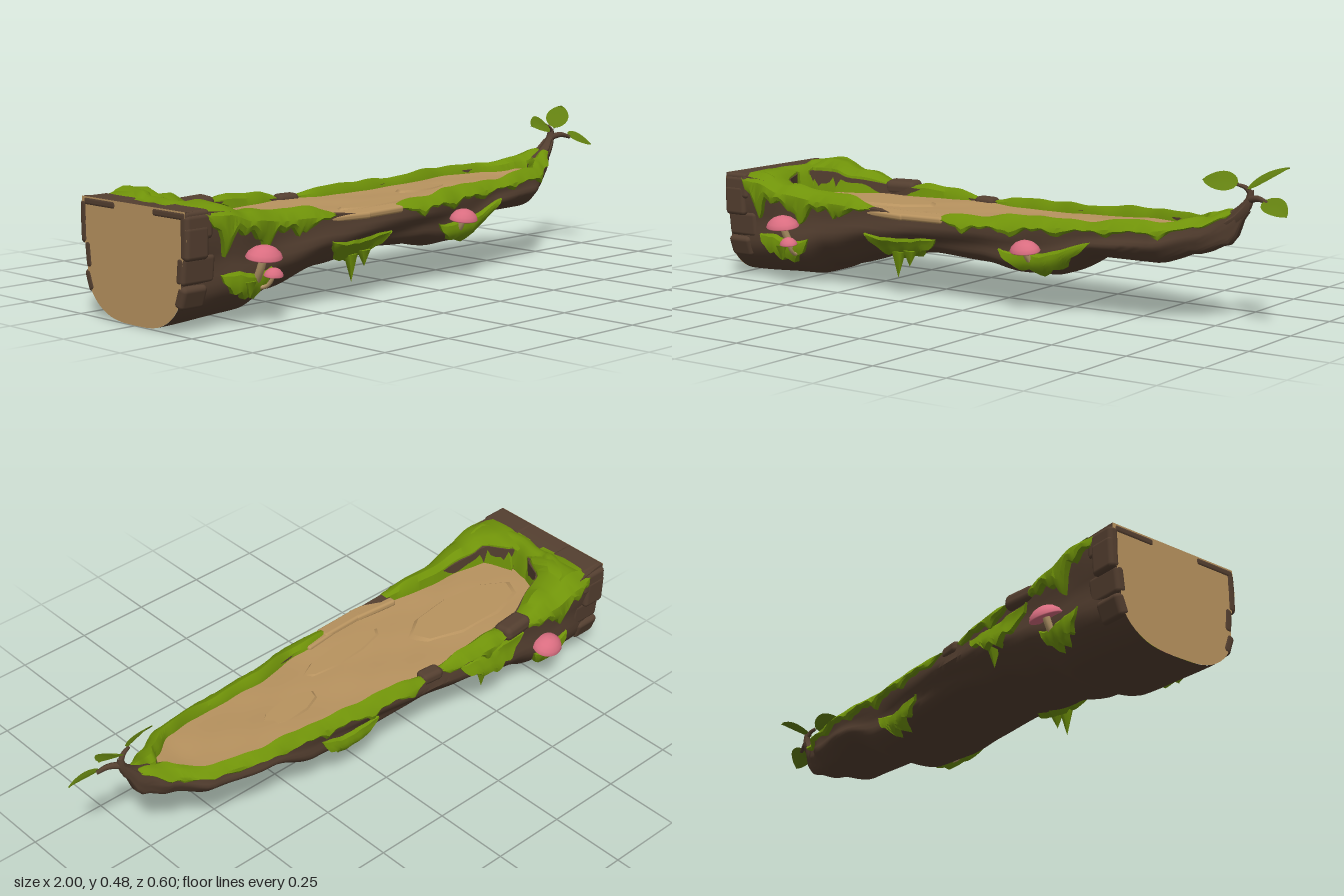
import * as THREE from 'three';
import { toCreasedNormals } from 'three/addons/utils/BufferGeometryUtils.js';
import { RoundedBoxGeometry } from 'three/addons/geometries/RoundedBoxGeometry.js';

const mat = (name, color, side = THREE.FrontSide) => {
  const m = new THREE.MeshStandardMaterial({ color, side });
  m.name = name;
  return m;
};

// Eased table: x, value, x, value ...
const table = (...t) => x => {
  if (x <= t[0]) return t[1];
  for (let i = 2; i < t.length; i += 2) {
    if (x <= t[i]) {
      const k = (x - t[i - 2]) / (t[i] - t[i - 2]);
      return t[i - 1] + (t[i + 1] - t[i - 1]) * k * k * (3 - 2 * k);
    }
  }
  return t[t.length - 1];
};

// Log outline: rim height, underside, half-widths and the cut face
const top = table(-1, .35, -.85, .338, -.75, .308, -.6, .288, -.2, .268, 0, .27, .3, .28, .6, .292, .72, .308, .79, .34, .85, .39);
const bottom = table(-1, 0, -.72, .012, -.6, .055, -.4, .105, -.2, .135, 0, .125, .12, .103, .22, .105, .4, .18, .58, .178, .7, .213, .79, .245, .85, .35);
const front = table(-1, .225, -.8, .225, -.6, .2, -.3, .207, 0, .195, .2, .165, .4, .15, .6, .125, .72, .065, .79, .025, .85, .012);
const back = table(-1, .235, -.85, .245, -.5, .235, -.2, .215, 0, .2, .2, .18, .42, .172, .6, .14, .72, .07, .79, .035, .85, .012);
const cutFront = table(-.85, .03, -.8, .13, -.6, .152, -.4, .175, -.2, .178, 0, .16, .2, .132, .4, .122, .58, .108, .68, .05, .71, .004);
const cutBack = table(-.85, .03, -.8, .12, -.6, .182, -.35, .195, 0, .178, .2, .16, .42, .154, .58, .12, .68, .05, .71, .004);
const floorY = table(-.85, .262, 0, .262, .6, .278, .71, .292);
const E = .63;
const outer = (x, s) => (s > 0 ? front(x) : back(x));
const inner = (x, s) => (s > 0 ? cutFront(x) : cutBack(x));
const noise = (a, b) => Math.sin(a * 17 + b * 5) * .5 + Math.sin(a * 31 - b * 9 + 1) * .3 + Math.sin(a * 53 + b * 13 + 2) * .2;
const centerZ = x => -.02 * Math.max(0, (x - .6) / .25);

// Point on the log's side: f runs from the rim (0) to the underside (1)
const barkPoint = (x, s, f, off = 0) => {
  const c = Math.pow(Math.max(0, 1 - Math.pow(f, 2 / E)), E / 2);
  const bulge = 1 + .05 * Math.sin(f * 9 + x * 6) * f * (1 - f) * 4;
  const y = top(x) - (top(x) - bottom(x)) * f - off * f * .8;
  return [x, Math.max(0, y), centerZ(x) + s * (outer(x, s) * c * bulge + off * (.4 + .6 * c))];
};

// Surface from a rule over a grid
function grid(nu, nv, fn, flip = false, crease = .7) {
  const pos = [], idx = [];
  for (let i = 0; i <= nu; i++) for (let j = 0; j <= nv; j++) pos.push(...fn(i / nu, j / nv, j));
  for (let i = 0; i < nu; i++) for (let j = 0; j < nv; j++) {
    const a = i * (nv + 1) + j, b = a + nv + 1;
    if (flip) idx.push(a, b, a + 1, a + 1, b, b + 1);
    else idx.push(a, a + 1, b, a + 1, b + 1, b);
  }
  const g = new THREE.BufferGeometry();
  g.setAttribute('position', new THREE.Float32BufferAttribute(pos, 3));
  g.setIndex(idx);
  return toCreasedNormals(g, crease);
}

export function createModel() {
  const group = new THREE.Group();
  const bark = mat('bark', 0x543f30), wood = mat('cut wood', 0xb8935f, THREE.DoubleSide);
  const moss = mat('moss', 0x709309, THREE.DoubleSide), leafGreen = mat('leaf green', 0x627f10, THREE.DoubleSide);
  const pink = mat('mushroom pink', 0xd96d80), cream = mat('mushroom stem', 0xb99b6c, THREE.DoubleSide);
  const add = (name, geo, material, parent = group) => {
    const m = new THREE.Mesh(geo, material);
    m.name = name;
    parent.add(m);
    return m;
  };
  const block = (name, material, w, h, d, x, y, z, rx = 0, ry = 0, rz = 0) => {
    const m = add(name, new RoundedBoxGeometry(w, h, d, 2, Math.min(w, h, d) * .4), material);
    m.position.set(x, y, z);
    m.rotation.set(rx, ry, rz);
  };

  // Bark shell, its section running down the front, under and up the back
  const N = 32;
  add('barkShell', grid(90, N + 5, (u, v, j) => {
    const x = -.997 + u * 1.847;
    if (j <= N) {
      const t = j / N, s = t <= .5 ? 1 : -1;
      return barkPoint(x, s, Math.pow(Math.sin(Math.PI * t), E));
    }
    const k = j - N, open = x > -.86 && x < .72;
    const y = open ? floorY(x) - .012 : top(x);
    if (k === 5) return barkPoint(x, 1, 0);
    const s = k < 3 ? -1 : 1, rim = k === 1 || k === 4;
    const z = open ? inner(x, s) : outer(x, s) * .7;
    return [x, rim ? top(x) : y, centerZ(x) + s * z];
  }), bark);

  // Sawn end
  const endShape = new THREE.Shape();
  for (let i = 0; i <= N; i++) {
    const t = i / N, p = barkPoint(-.997, t <= .5 ? 1 : -1, Math.pow(Math.sin(Math.PI * t), E));
    i ? endShape.lineTo(p[2], p[1]) : endShape.moveTo(p[2], p[1]);
  }
  const end = add('sawnEnd', new THREE.ShapeGeometry(endShape), wood);
  end.rotation.y = -Math.PI / 2;
  end.position.x = -.998;

  // Bark plates round the thick end
  for (const s of [1, -1]) {
    [[.02, .075, .1], [.25, .1, .085], [.48, .085, .12], [.7, .07, .09]].forEach(([f, h, w], i) => {
      const p = barkPoint(-.94, s, f);
      block('barkPlate', bark, w, h, .035, -1 + w / 2, p[1] - (i ? 0 : .035), p[2] - s * .009, s * [0, .03, .1, .35][i]);
    });
    block('topBarkPlate', bark, .09, .03, .15, -.955, .336, s * .155);
  }
  block('rimBark', bark, .12, .05, .07, -.59, .282, -.215, .1, .1);
  block('rimBark', bark, .08, .04, .05, -.23, .262, -.2, 0, -.1);

  // Cut face with shallow grain plates
  add('cutFace', grid(60, 14, (u, v) => {
    const x = -.852 + u * 1.565, z = -cutBack(x) * 1.05 + v * (cutBack(x) + cutFront(x)) * 1.05;
    return [x, floorY(x) + .004 * noise(x * .5, z * 3), z];
  }), wood);
  const grain = (x, z, l, w, h, turn = 0) => {
    const m = add('grainPlate', new THREE.CylinderGeometry(.92, 1, 1, 9), wood);
    m.scale.set(l, h, w);
    m.position.set(x, floorY(x) + .003, z);
    m.rotation.y = turn;
  };
  grain(-.55, -.03, .24, .09, .007);
  grain(.22, -.04, .12, .045, .007, .1);
  grain(-.1, .07, .18, .04, .005, .08);
  // Broken front lip
  block('brokenLip', wood, .16, .022, .055, -.34, .264, .183, .12, -.1);
  block('brokenLip', wood, .17, .022, .05, -.2, .264, .187, .12, .04);
  block('brokenLip', wood, .12, .02, .045, -.09, .263, .175, .1, .12);

  // Moss along the rim, hanging over the bark in drips
  function rimMoss(s, x0, x1) {
    const n = Math.round((x1 - x0) * 80);
    add('rimMoss', grid(n, 7, (u, v, j) => {
      const x = x0 + (x1 - x0) * u;
      const k = Math.sqrt(Math.min(1, (x - x0 + .002) / .07, (x1 - x + .002) / .07));
      const saw = Math.abs(((x * 6.1 + s * .2 + 20) % 1) * 2 - 1), saw2 = Math.abs(((x * 17 + s * .4 + 40) % 1) * 2 - 1);
      const heavy = x < -.55 ? 1.5 : 1;
      const drip = (.06 + .16 * saw * saw * saw + .06 * saw2) * k * heavy;
      const hump = s < 0 ? .012 * Math.exp(-Math.pow((x + .85) / .1, 2)) : 0;
      const h = (.021 + .008 * noise(x, s) + hump) * k;
      const zi = inner(x, s) - .006 * (1 + noise(x, s * 2)) * k, zo = outer(x, s), T = top(x);
      const cz = centerZ(x), at = (t, y) => [x, y, cz + s * (zi + (zo - zi) * t)];
      const low = x < -.85 ? T : floorY(x) - .004;
      if (j === 0) return at(0, low);
      if (j === 1) return at(.12, Math.max(low, T) + h * .3);
      if (j === 2) return at(.45, T + h);
      if (j === 3) return at(.85, T + h * .75);
      if (j === 4) return barkPoint(x, s, .03, .016 * k);
      if (j === 5) return barkPoint(x, s, drip * .6, .02 * k);
      if (j === 6) return barkPoint(x, s, drip, .015 * k);
      return barkPoint(x, s, drip + .02, -.012);
    }, s < 0, .6), moss);
  }
  [[1, -.93, -.4], [1, -.13, .8], [-1, -.93, -.63], [-1, -.55, -.27], [-1, -.2, .8]].forEach(a => rimMoss(...a));

  // Moss bank behind the cut face
  add('mossBank', grid(26, 6, (u, v) => {
    const z = -.215 + .41 * u, wob = .015 * noise(z, 2);
    const reach = .075 + .07 * Math.pow(Math.abs(z) / .2, 2);
    const x = -.92 + wob + v * reach;
    const crown = .342 + .015 * Math.sin(Math.PI * Math.min(1, v * 1.3 + .05)) + (z < -.08 ? .012 : 0) * Math.sin(Math.PI * v);
    return [x, v > .8 ? .262 + (1 - v) * .35 : crown, z];
  }, true), moss);

  // Moss patches clinging to the sides
  function mossPatch(s, x0, x1, f0, f1) {
    add('mossPatch', grid(24, 6, (u, v) => {
      const x = x0 + (x1 - x0) * u, body = Math.pow(Math.sin(Math.PI * u), .6);
      const jag = .72 + .28 * Math.abs(((u * 4.5) % 1) * 2 - 1);
      const mid = f0 + .04 * noise(x, s);
      const f = mid + (f1 - f0) * body * jag * v;
      const off = v === 0 || v === 1 ? -.008 : (.008 + .012 * v) * (.4 + .6 * body);
      return barkPoint(x, s, Math.min(.95, f), off);
    }, s < 0, .5), moss);
  }
  mossPatch(1, -.42, -.15, .5, 1.05);
  mossPatch(1, .08, .4, .48, .98);
  mossPatch(1, -.86, -.66, .54, .85);
  mossPatch(-1, -.62, -.34, .14, .66);
  mossPatch(-1, -.02, .2, .45, .95);
  mossPatch(-1, -.84, -.68, .55, .85);
  // Hanging moss tips
  for (const [x, y, z, l] of [[-.31, .1, .175, .085], [-.26, .125, .18, .05], [-.76, .1, .222, .05], [-.45, .15, -.22, .07]]) {
    const m = add('mossTip', new THREE.ConeGeometry(.028, l, 5), moss);
    m.position.set(x, y, z);
    m.rotation.x = Math.PI;
    m.scale.z = .5;
  }

  // Bracket mushrooms with curved stems
  function mushroom(x, y, z, r, h, s, root, tilt = .15) {
    const g = new THREE.Group();
    g.name = 'mushroom';
    group.add(g);
    const pts = [[0, 0], [.55, -.06], [.96, -.1], [1, 0], [.88, .38], [.6, .76], [.3, .95], [0, 1]];
    const cap = add('mushroomCap', new THREE.LatheGeometry(pts.map(p => new THREE.Vector2(p[0] * r, p[1] * h)), 20), pink, g);
    cap.position.set(x, y, z);
    cap.rotation.x = s * tilt;
    cap.scale.z = .85;
    const path = new THREE.QuadraticBezierCurve3(new THREE.Vector3(x, y + .005, z),
      new THREE.Vector3(x, y - .045, z - s * .015), new THREE.Vector3(...root));
    add('mushroomStem', new THREE.TubeGeometry(path, 8, r * .2, 8), cream, g);
  }
  mushroom(-.73, .196, .25, .058, .034, 1, [-.72, .11, .2]);
  mushroom(-.7, .14, .257, .031, .022, 1, [-.71, .1, .2]);
  mushroom(.185, .196, .18, .05, .032, 1, [.2, .135, .12]);
  mushroom(-.725, .16, -.253, .055, .033, -1, [-.72, .09, -.2], .35);

  // Sprout at the thin end
  const twig = (pts, r0, r1) => {
    const curve = new THREE.CatmullRomCurve3(pts.map(p => new THREE.Vector3(...p)));
    const geo = new THREE.TubeGeometry(curve, 10, 1, 8), p = geo.attributes.position, c = new THREE.Vector3(), q = new THREE.Vector3();
    for (let i = 0; i < p.count; i++) {
      const t = Math.floor(i / 9) / 10;
      curve.getPointAt(t, c);
      q.fromBufferAttribute(p, i).sub(c).multiplyScalar(r0 + (r1 - r0) * t).add(c);
      p.setXYZ(i, q.x, q.y, q.z);
    }
    geo.computeVertexNormals();
    add('twig', geo, bark);
  };
  twig([[.76, .3, -.012], [.81, .335, -.016], [.845, .38, -.02], [.85, .415, -.02]], .032, .009);
  twig([[.845, .385, -.02], [.885, .392, -.005], [.92, .382, .005]], .012, .006);
  twig([[.848, .405, -.02], [.835, .42, -.016], [.81, .428, -.01]], .009, .005);

  function leaf(base, tip, normal, width) {
    const b = new THREE.Vector3(...base), d = new THREE.Vector3(...tip).sub(b);
    const side = new THREE.Vector3(...normal).cross(d).normalize();
    const up = d.clone().cross(side).normalize();
    add('leaf', grid(12, 6, (u, v) => {
      const k = v * 2 - 1, w = width * Math.pow(Math.sin(Math.PI * Math.pow(u, .8)), .7);
      return b.clone().addScaledVector(d, u).addScaledVector(side, k * w)
        .addScaledVector(up, .004 * Math.abs(k) + .006 * Math.sin(Math.PI * u)).toArray();
    }, true), leafGreen);
  }
  leaf([.815, .428, -.01], [.705, .435, .01], [0, .75, .7], .037);
  leaf([.848, .415, -.005], [.955, .48, -.062], [-.4, .8, .4], .038);
  leaf([.908, .388, .002], [.998, .35, .036], [.3, .75, .6], .036);
  return group;
}
